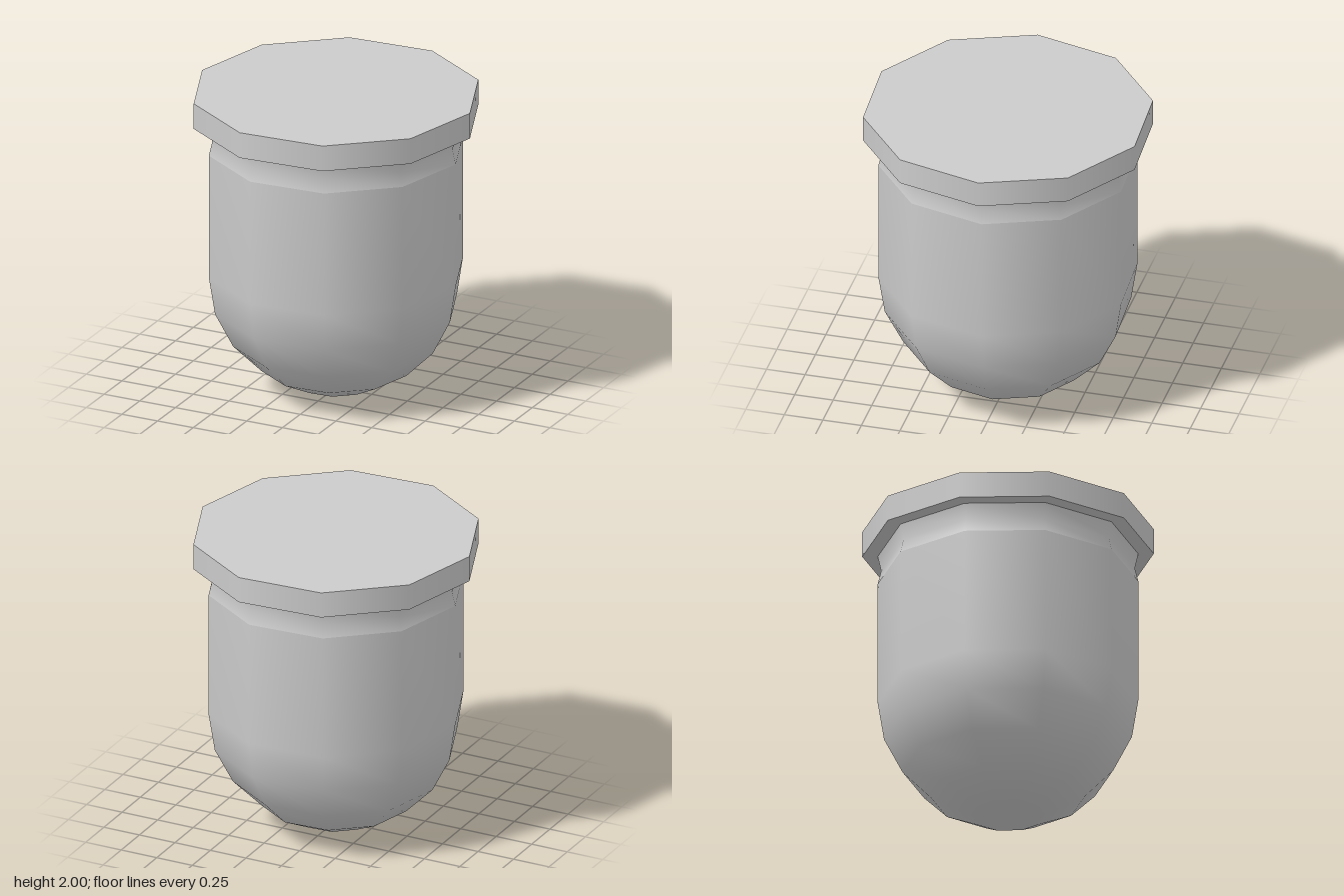
import * as THREE from 'three';

const SIDES = 10;
const TURN = THREE.MathUtils.degToRad(21.3); // the ten sides sit slightly rotated
const R = 0.817;

export function createModel() {
  const group = new THREE.Group();
  const material = new THREE.MeshStandardMaterial({ color: 0xcccccc });

  const add = (name, geometry, y = 0) => {
    const mesh = new THREE.Mesh(geometry, material);
    mesh.name = name;
    mesh.position.y = y;
    mesh.rotation.y = TURN;
    group.add(mesh);
  };
  const lathe = (points) => new THREE.LatheGeometry(points, SIDES);

  // Rounded bottom in 18 degree steps, running up into a straight wall
  const profile = [];
  for (let i = 0; i <= 5; i++) {
    const a = (i * Math.PI) / 10;
    profile.push(new THREE.Vector2(R * Math.sin(a), R * (1 - Math.cos(a))));
  }
  profile.push(new THREE.Vector2(R, 1.64));
  add('body', lathe(profile));

  // Pinched neck below the lid
  add('neck', lathe([
    new THREE.Vector2(R, 1.64),
    new THREE.Vector2(0.795, 1.73),
    new THREE.Vector2(R, 1.83),
  ]));

  // Flat overhanging lid
  add('lid', new THREE.CylinderGeometry(0.914, 0.914, 0.17, SIDES), 1.915);

  return group;
}
